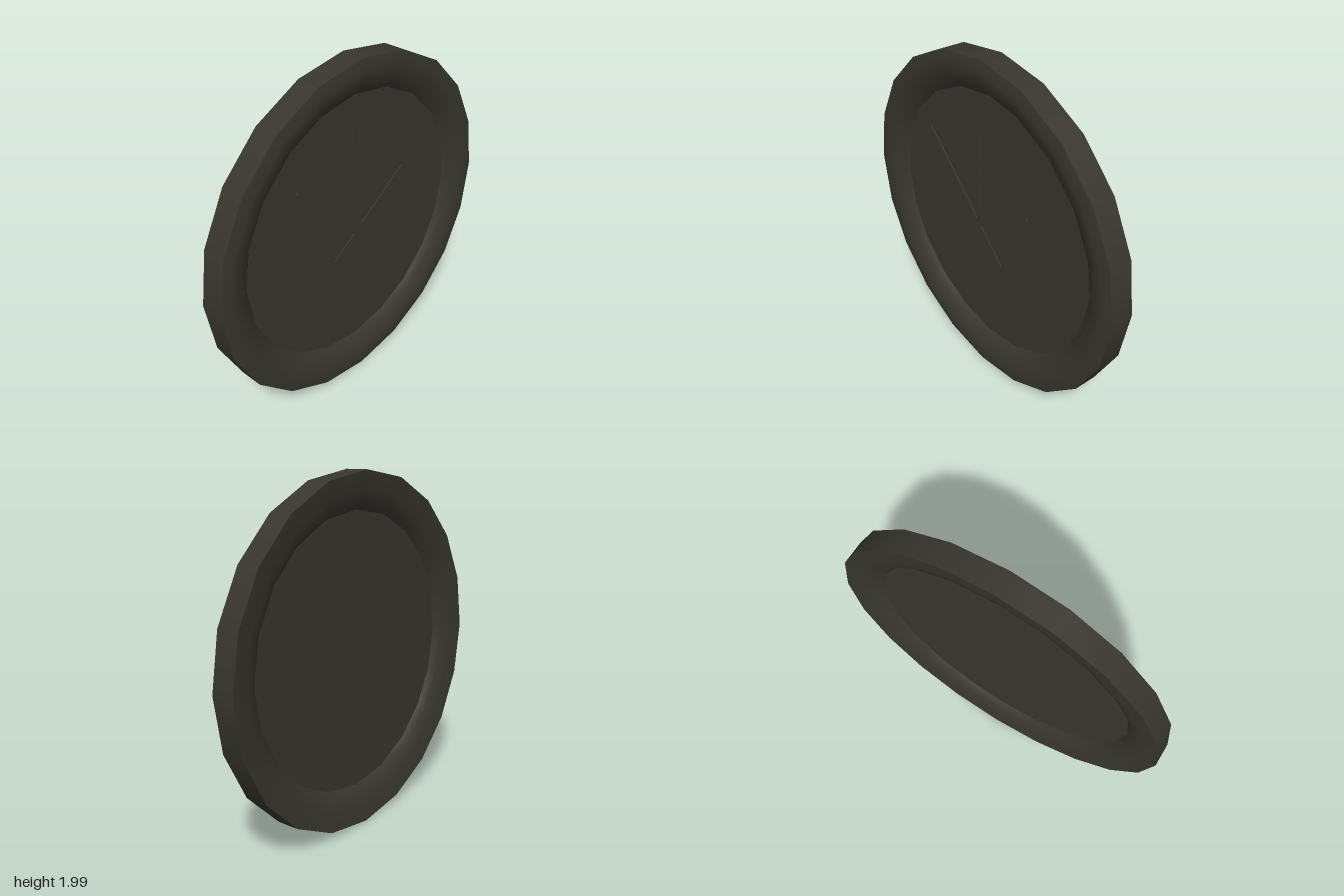
import * as THREE from 'three';

const SIDES = 20;

export function createModel() {
  const clock = new THREE.Group();
  clock.name = 'wallClock';
  const charcoal = new THREE.MeshStandardMaterial({ color: 0x38362e });
  charcoal.name = 'charcoal';

  const add = (name, geometry, parent = clock) => {
    const mesh = new THREE.Mesh(geometry, charcoal);
    mesh.name = name;
    parent.add(mesh);
    return mesh;
  };

  // Turned rim: separate strips keep the outer edges sharp; points are [radius, z]
  const body = new THREE.Group();
  body.name = 'body';
  body.position.y = 0.995;
  body.scale.y = 0.995;
  clock.add(body);
  const strips = {
    backRim: [[0.79, 0], [0.83, -0.04], [0.9, -0.062], [1, -0.075]],
    sideWall: [[1, -0.075], [1, 0.06]],
    frontRim: [[1, 0.06], [0.94, 0.07], [0.89, 0.06], [0.83, 0.038], [0.79, 0]],
  };
  for (const [name, points] of Object.entries(strips)) {
    const profile = points.map(([r, z]) => new THREE.Vector2(r, z));
    add(name, new THREE.LatheGeometry(profile, SIDES).rotateX(Math.PI / 2), body);
  }

  // Recessed dial, seen from both sides
  add('dial', new THREE.CylinderGeometry(0.79, 0.79, 0.004, SIDES).rotateX(Math.PI / 2), body);

  // Hands taper from the pivot to the tip and have a short tail
  const pivot = new THREE.Group();
  pivot.name = 'hands';
  pivot.position.set(-0.02, 0.98, 0);
  clock.add(pivot);
  const addHand = (name, angle, length, tail, tipWidth, width, z) => {
    const t = tipWidth / 2, w = width / 2;
    const shape = new THREE.Shape([
      [-w, -tail], [w, -tail], [w, 0], [t, length], [-t, length], [-w, 0],
    ].map(([x, y]) => new THREE.Vector2(x, y)));
    const hand = add(name, new THREE.ExtrudeGeometry(shape, { depth: 0.006, bevelEnabled: false }), pivot);
    hand.rotation.z = angle;
    hand.position.z = z;
  };
  addHand('hourHand', -0.96, 0.45, 0.21, 0.026, 0.034, 0.036);
  addHand('minuteHand', Math.PI / 4, 0.635, 0.24, 0.024, 0.032, 0.044);
  addHand('secondHand', 0, 0.73, 0.24, 0.005, 0.03, 0.052);

  // Spindle behind the hands
  const spindle = add('spindle', new THREE.CylinderGeometry(0.012, 0.012, 0.05, 8).rotateX(Math.PI / 2), pivot);
  spindle.position.z = 0.026;

  return clock;
}
